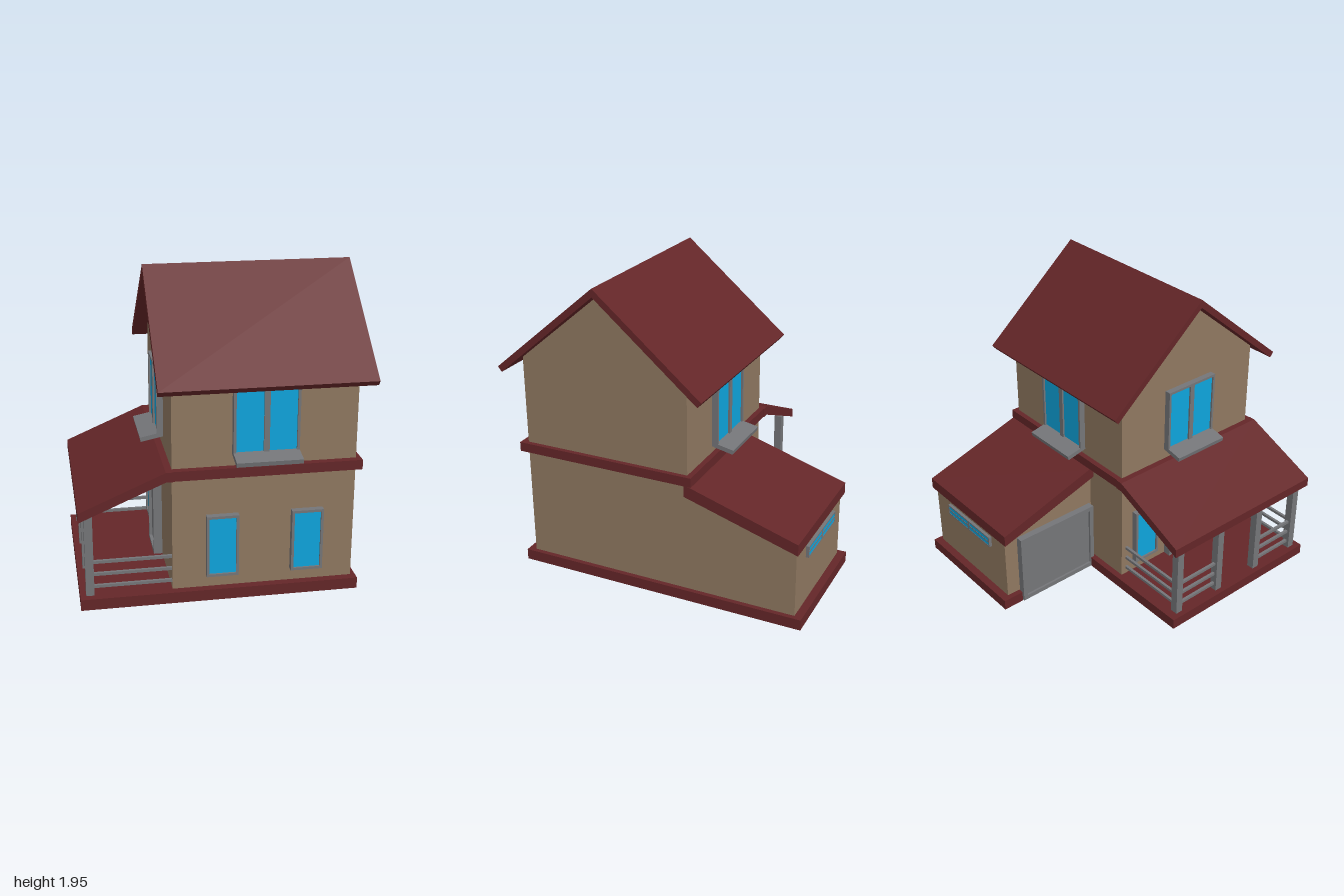
import * as THREE from 'three';

const mat = (name, color, side = THREE.FrontSide) => {
  const m = new THREE.MeshStandardMaterial({ color, side });
  m.name = name;
  return m;
};

export function createModel() {
  const house = new THREE.Group();
  house.name = 'house';
  const red = mat('roofRed', 0x642628);
  const beige = mat('wallBeige', 0x8f7860, THREE.DoubleSide);
  const grey = mat('trimGrey', 0x747578);
  const blue = mat('glassBlue', 0x0ea4dc);

  const add = (parent, name, geo, material) => {
    const mesh = new THREE.Mesh(geo, material);
    mesh.name = name;
    parent.add(mesh);
    return mesh;
  };
  // Box given by its lower and upper limits on each axis
  const box = (parent, name, material, [x0, x1], [y0, y1], [z0, z1]) => {
    const geo = new THREE.BoxGeometry(x1 - x0, y1 - y0, z1 - z0);
    geo.translate((x0 + x1) / 2, (y0 + y1) / 2, (z0 + z1) / 2);
    return add(parent, name, geo, material);
  };
  const shapeOf = pts => new THREE.Shape(pts.map(p => new THREE.Vector2(p[0], p[1])));
  const extrude = (shape, depth) => new THREE.ExtrudeGeometry(shape, { depth, bevelEnabled: false });
  // Prism along x from a [z, y] outline
  const prismX = (name, pts, x0, x1) =>
    add(house, name, extrude(shapeOf(pts.map(([z, y]) => [-z, y])), x1 - x0)
      .rotateY(Math.PI / 2).translate(x0, 0, 0), red);
  // Flat convex wall from its corners
  const wall = (name, pts) => {
    const geo = new THREE.BufferGeometry();
    const index = [];
    for (let i = 1; i < pts.length - 1; i++) index.push(0, i, i + 1);
    geo.setAttribute('position', new THREE.Float32BufferAttribute(pts.flat(), 3));
    geo.setIndex(index);
    geo.computeVertexNormals();
    add(house, name, geo, beige);
  };

  // Walls, corners counter-clockwise from outside
  const L = -0.32, R = 0.79, F = 0.86, B = -0.25, G = -0.95, Y = 0.01, E = 1.42, T = 1.885;
  wall('frontWall', [[L, Y, F], [R, Y, F], [R, E, F], [L, E, F]]);
  wall('rightWall', [[L, Y, B], [L, Y, F], [L, E, F], [L, T, 0.305], [L, E, B]]);
  wall('leftWall', [[R, Y, F], [R, Y, B], [R, E, B], [R, T, 0.305], [R, E, F]]);
  wall('upperBackWall', [[R, 0.74, B], [L, 0.74, B], [L, E, B], [R, E, B]]);
  wall('lowerBackWall', [[0, Y, B], [L, Y, B], [L, 0.74, B], [0, 0.74, B]]);
  wall('garageLeftWall', [[R, Y, B], [R, Y, G], [R, 0.53, G], [R, 0.75, B]]);
  wall('garageBackWall', [[R, Y, G], [0, Y, G], [0, 0.53, G], [R, 0.53, G]]);
  wall('garageRightWall', [[0, Y, G], [0, Y, B], [0, 0.75, B], [0, 0.53, G]]);

  // Base: porch slab and plinth strips, left open at the garage door
  const base = [0, 0.07];
  box(house, 'porchFloor', red, [-0.875, -0.315], base, [-0.29, 0.91]);
  box(house, 'frontPlinth', red, [-0.315, 0.82], base, [0.855, 0.91]);
  box(house, 'leftPlinth', red, [0.785, 0.82], base, [-1, 0.855]);
  box(house, 'garageBackPlinth', red, [-0.035, 0.785], base, [-1, -0.945]);
  box(house, 'garageSidePlinth', red, [-0.035, 0.005], base, [-0.945, -0.86]);
  box(house, 'backPlinth', red, [-0.315, 0.005], base, [-0.29, -0.245]);

  // Band between the storeys
  const band = [0.79, 0.85];
  box(house, 'frontBand', red, [-0.32, 0.82], band, [0.855, 0.905]);
  box(house, 'leftBand', red, [0.785, 0.82], band, [-0.245, 0.855]);
  box(house, 'backBand', red, [-0.32, 0.82], band, [-0.285, -0.245]);

  // Roofs
  prismX('mainRoof', [[0.99, 1.365], [0.305, 1.945], [-0.38, 1.365],
    [-0.355, 1.333], [0.305, 1.893], [0.965, 1.333]], -0.41, 0.87);
  prismX('garageRoof', [[-0.24, 0.72], [-0.24, 0.795], [-0.285, 0.785],
    [-0.968, 0.572], [-0.968, 0.498]], -0.035, 0.82);
  add(house, 'porchRoof', extrude(shapeOf([[-0.315, 0.85], [-0.36, 0.85], [-0.875, 0.63],
    [-0.875, 0.57], [-0.36, 0.79], [-0.315, 0.79]]), 1.2).translate(0, 0, -0.29), red);

  // Framed opening facing local +z, standing on local y = 0
  const opening = (name, w, h, o, pos, turn) => {
    const { cols = 1, rows = 1, depth = 0.04, rim = 0.016, gap = 0.034, fill = blue, sill } = o;
    const g = new THREE.Group();
    g.name = name;
    const frame = shapeOf([[-w / 2, 0], [w / 2, 0], [w / 2, h], [-w / 2, h]]);
    const pw = (w - 2 * rim - (cols - 1) * gap) / cols;
    const ph = (h - 2 * rim - (rows - 1) * rim) / rows;
    for (let c = 0; c < cols; c++) for (let r = 0; r < rows; r++) {
      const x = -w / 2 + rim + c * (pw + gap), y = rim + r * (ph + rim);
      frame.holes.push(new THREE.Path([[x, y], [x, y + ph], [x + pw, y + ph], [x + pw, y]]
        .map(p => new THREE.Vector2(...p))));
      box(g, 'pane', fill, [x, x + pw], [y, y + ph], [depth * 0.5, depth * 0.5 + 0.008]);
    }
    add(g, 'frame', extrude(frame, depth), grey);
    if (sill) {
      const s = box(g, 'sill', grey, [-w / 2, w / 2], [-0.014, 0.014], [-0.065, 0.065]);
      s.position.set(0, -0.002, 0.077);
      s.rotation.x = 0.2;
    }
    g.position.set(...pos);
    g.rotation.y = turn;
    house.add(g);
  };
  const toRight = -Math.PI / 2, toBack = Math.PI;
  const double = { cols: 2, sill: true };
  opening('upperFrontWindow', 0.395, 0.43, double, [0.235, 0.92, F], 0);
  opening('upperRightWindow', 0.395, 0.43, double, [L, 0.92, 0.305], toRight);
  opening('upperBackWindow', 0.395, 0.43, double, [0.245, 0.89, B], toBack);
  for (const x of [-0.02, 0.498]) opening('lowerFrontWindow', 0.195, 0.395, {}, [x, 0.15, F], 0);
  opening('porchWindow', 0.195, 0.395, {}, [L, 0.15, -0.06], toRight);
  opening('garageWindow', 0.48, 0.075, { cols: 2, rows: 2, depth: 0.02, rim: 0.009, gap: 0.02 },
    [0.39, 0.385, G], toBack);
  opening('porchDoor', 0.26, 0.485, { depth: 0.055, rim: 0.02, fill: grey }, [L, 0.07, 0.26], toRight);
  opening('garageDoor', 0.59, 0.49, { depth: 0.045, rim: 0.03, fill: grey }, [0, 0.002, -0.56], toRight);

  // Porch posts and rails, with a gap for the entrance
  const postZ = [-0.21, 0.14, 0.49, 0.84];
  for (const z of postZ)
    box(house, 'porchPost', grey, [-0.84, -0.79], [0.07, 0.59], [z - 0.025, z + 0.025]);
  for (const y of [0.12, 0.2, 0.28]) {
    const h = [y - 0.009, y + 0.009];
    for (const z of [postZ[0], postZ[3]])
      box(house, 'endRail', grey, [-0.79, L], h, [z - 0.009, z + 0.009]);
    for (const i of [0, 2])
      box(house, 'sideRail', grey, [-0.824, -0.806], h, [postZ[i] + 0.025, postZ[i + 1] - 0.025]);
  }
  return house;
}
